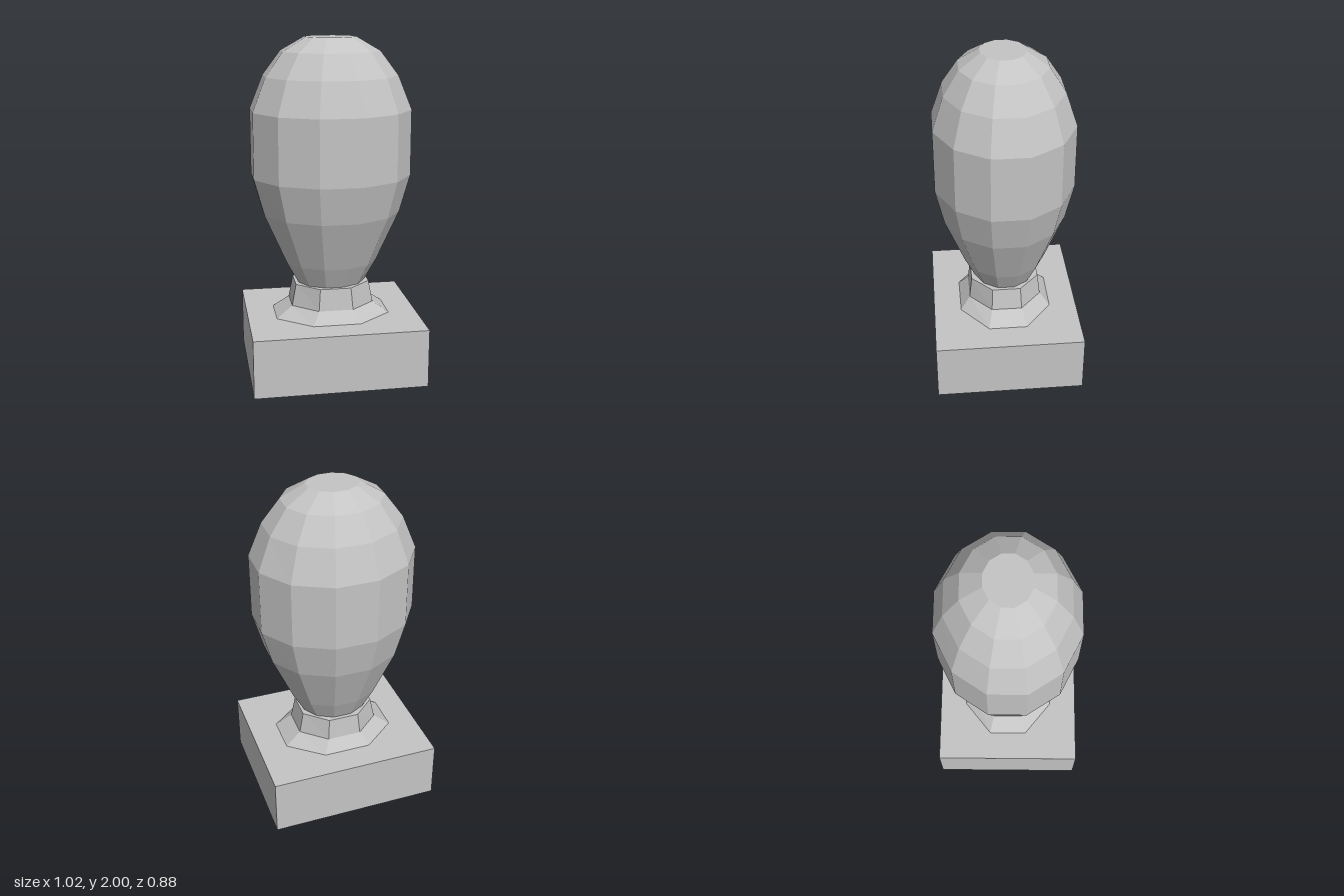
import * as THREE from 'three';

const stone = new THREE.MeshStandardMaterial({ color: 0xc4c4c4 });
stone.name = 'lightGrey';

// Faceted solid from rings of [y, half width, half depth], closed at both ends.
// A flat side faces each of the four directions.
function facetedSolid(name, rings, sides) {
  const k = Math.cos(Math.PI / sides);
  const closed = [[rings[0][0], 0, 0], ...rings, [rings[rings.length - 1][0], 0, 0]];
  const profile = closed.map(([y, w]) => new THREE.Vector2(w / k, y));
  const lathe = new THREE.LatheGeometry(profile, sides, Math.PI / sides);
  const pos = lathe.attributes.position;
  for (let i = 0; i < pos.count; i++) {
    const [, w, d] = closed[i % closed.length];
    if (w > 0) pos.setZ(i, pos.getZ(i) * d / w);
  }
  const geometry = lathe.toNonIndexed();
  geometry.computeVertexNormals(); // one normal per facet
  const mesh = new THREE.Mesh(geometry, stone);
  mesh.name = name;
  return mesh;
}

export function createModel() {
  const model = new THREE.Group();
  model.name = 'finial';

  // Rectangular plinth
  const plinth = new THREE.Mesh(new THREE.BoxGeometry(1.02, 0.35, 0.88), stone);
  plinth.name = 'plinth';
  plinth.position.y = 0.175;
  model.add(plinth);

  // Eight-sided collar with a flared foot
  model.add(facetedSolid('collar', [
    [0.35, 0.34, 0.275],
    [0.42, 0.245, 0.218],
    [0.55, 0.22, 0.203],
  ], 8));

  // Twelve-sided bulb
  model.add(facetedSolid('bulb', [
    [0.55, 0.2, 0.18],
    [0.68, 0.27, 0.24],
    [0.98, 0.4, 0.355],
    [1.2, 0.46, 0.403],
    [1.585, 0.46, 0.403],
    [1.78, 0.383, 0.337],
    [1.92, 0.281, 0.247],
    [2.0, 0.146, 0.128],
  ], 12));

  return model;
}
